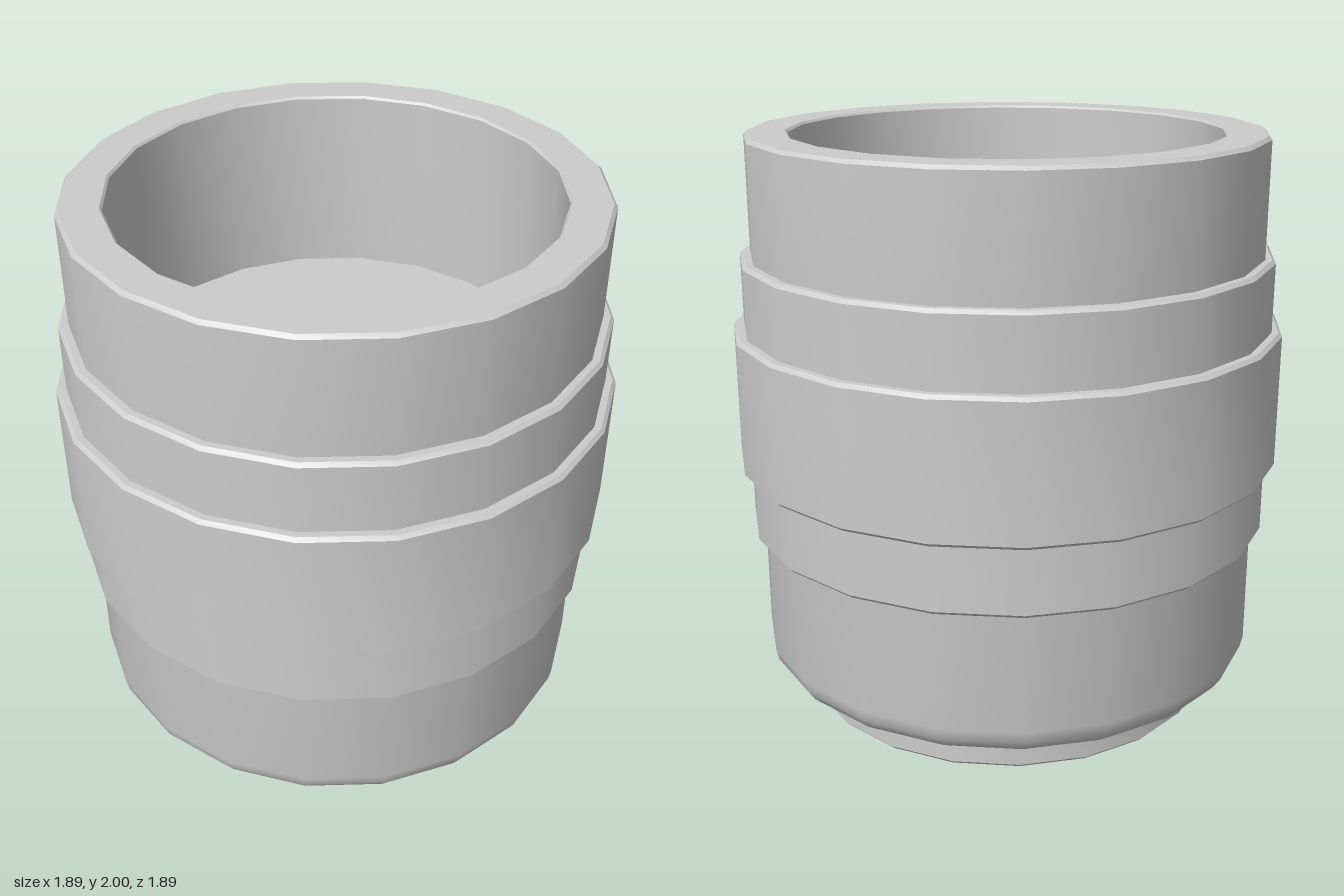
import * as THREE from 'three';
import { toCreasedNormals } from 'three/addons/utils/BufferGeometryUtils.js';

const SIDES = 20;

export function createModel() {
  const group = new THREE.Group();
  group.name = 'cup';
  const grey = new THREE.MeshStandardMaterial({ color: 0xcccccc });
  grey.name = 'plain grey';

  function add(name, geometry) {
    const mesh = new THREE.Mesh(geometry, grey);
    mesh.name = name;
    group.add(mesh);
    return mesh;
  }

  // turned part: profile of [radius, height], outside running upwards
  function turned(name, profile) {
    const points = profile.map(([r, y]) => new THREE.Vector2(r, y));
    return add(name, toCreasedNormals(new THREE.LatheGeometry(points, SIDES), 0.6));
  }

  // raised band with small bevels, rooted inside the wall
  function band(name, radius, bottom, top, root) {
    const b = 0.012;
    turned(name, [
      [root, bottom], [radius - b, bottom], [radius, bottom + b],
      [radius, top - b], [radius - b, top], [root, top],
    ]);
  }

  // flat disc facing up or down
  function disc(name, radius, y, up) {
    const mesh = add(name, new THREE.CircleGeometry(radius, SIDES));
    mesh.rotation.x = up ? -Math.PI / 2 : Math.PI / 2;
    mesh.position.y = y;
  }

  // wall: rounded lower edge, thick rim and inner side
  turned('body', [
    [0.70, 0.115], [0.76, 0.115], [0.805, 0.125], [0.842, 0.15],
    [0.866, 0.185], [0.875, 0.225], [0.875, 1.988], [0.863, 2],
    [0.738, 2], [0.73, 1.992], [0.73, 1.35],
  ]);
  disc('innerFloor', 0.73, 1.35, true);

  // stepped grip bands
  band('innerBand', 0.91, 0.64, 1.6, 0.86);
  band('outerBand', 0.945, 0.88, 1.355, 0.89);

  // foot ring with a shallow recess underneath
  turned('foot', [
    [0.62, 0.07], [0.625, 0.03], [0.635, 0.01], [0.655, 0],
    [0.708, 0], [0.72, 0.012], [0.72, 0.125],
  ]);
  disc('underside', 0.62, 0.07, false);

  return group;
}
